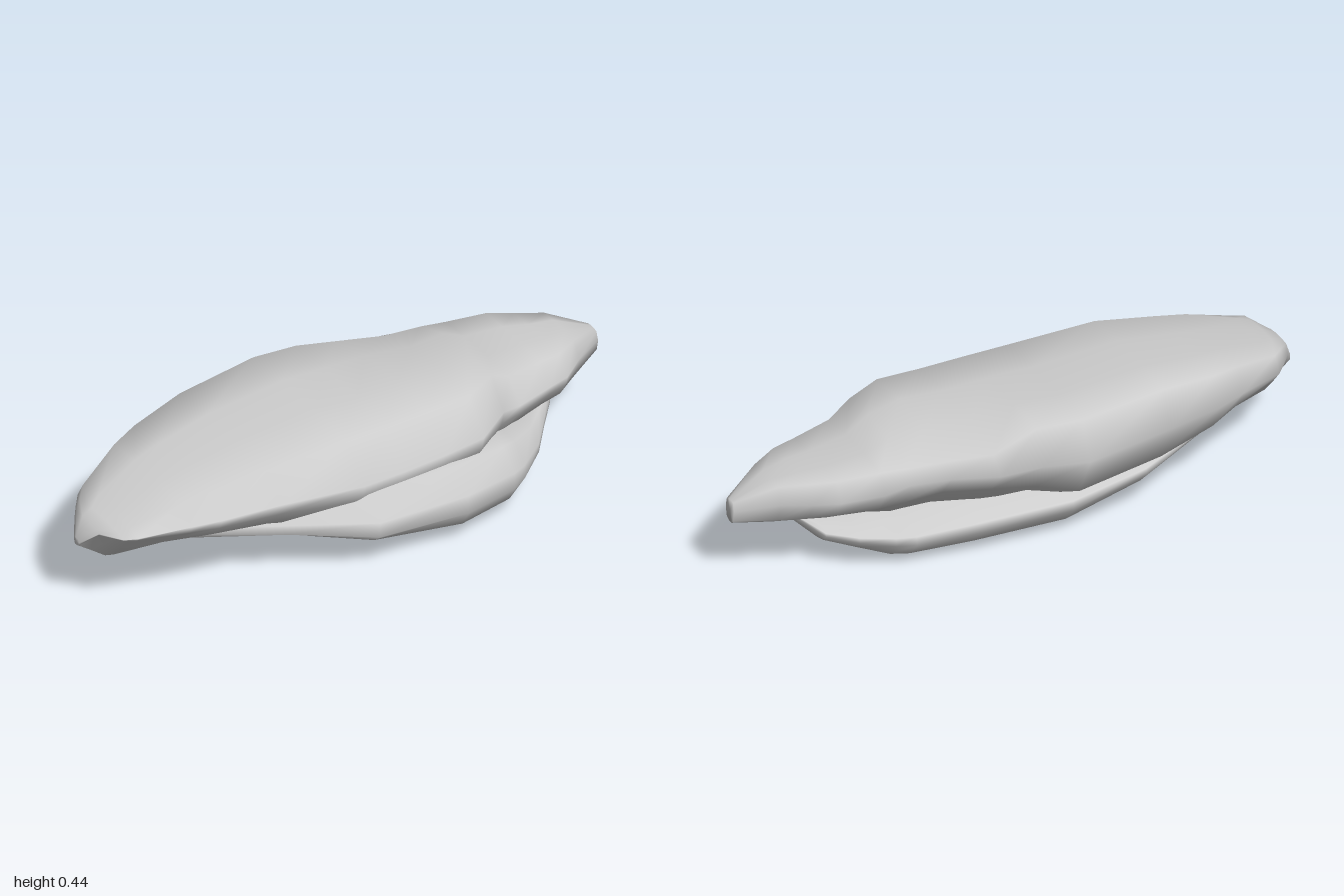
import * as THREE from 'three';

// Skins a body along x. Each station is
// [x, zFront, zBack, yTop, yBottom, drop, backLift, frontLift]: drop lowers the back
// of the top, the lifts raise the two sides of the underside. The ring gives
// [u, v, dropShare, backShare, frontShare]: u -1 back..1 front, v 0 bottom..1 top.
function loft(name, stations, ring, material) {
  const n = ring.length;
  const positions = [];
  const index = [];
  for (const [x, zFront, zBack, yTop, yBottom, drop = 0, back = 0, front = 0] of stations) {
    const middle = (zFront + zBack) / 2;
    const half = (zFront - zBack) / 2;
    for (const [u, v, dropShare = 0, backShare = 0, frontShare = 0] of ring) {
      const shift = back * backShare + front * frontShare - drop * dropShare;
      positions.push(x, yBottom + v * (yTop - yBottom) + shift, middle + u * half);
    }
  }
  for (let i = 0; i < stations.length - 1; i++) {
    for (let j = 0; j < n; j++) {
      const k = (j + 1) % n;
      const a = i * n + j, b = a + n, c = i * n + k, d = c + n;
      index.push(a, b, d, a, d, c);
    }
  }
  // Close both ends with fans
  for (const end of [0, stations.length - 1]) {
    const [x, zFront, zBack, yTop, yBottom] = stations[end];
    const centre = positions.length / 3;
    positions.push(x, (yTop + yBottom) / 2, (zFront + zBack) / 2);
    for (let j = 0; j < n; j++) {
      const a = end * n + j, b = end * n + (j + 1) % n;
      if (end === 0) index.push(centre, a, b);
      else index.push(centre, b, a);
    }
  }
  const geometry = new THREE.BufferGeometry();
  geometry.setAttribute('position', new THREE.Float32BufferAttribute(positions, 3));
  geometry.setIndex(index);
  geometry.computeVertexNormals();
  const mesh = new THREE.Mesh(geometry, material);
  mesh.name = name;
  return mesh;
}

export function createModel() {
  const group = new THREE.Group();
  group.name = 'rock';
  const stone = new THREE.MeshStandardMaterial({ color: 0xcccccc });
  stone.name = 'stone grey';

  // Long upper slab: thin raised front edge on the right, a step down to the left tip
  const slabStations = [
    [-1.00, 0.045, 0.015, 0.255, 0.23],
    [-0.97, 0.115, -0.03, 0.32, 0.205, 0, 0.03, 0.08],
    [-0.93, 0.20, -0.085, 0.332, 0.18, 0, 0.05, 0.11],
    [-0.89, 0.218, -0.135, 0.345, 0.165, 0, 0.06, 0.11],
    [-0.72, 0.265, -0.23, 0.395, 0.15, 0, 0.06, 0.08],
    [-0.62, 0.285, -0.275, 0.41, 0.14, 0, 0.04, 0.07],
    [-0.42, 0.318, -0.33, 0.437, 0.12, 0, 0.02, 0.07],
    [-0.11, 0.318, -0.39, 0.437, 0.10, 0, 0.02],
    [0.04, 0.312, -0.375, 0.436, 0.10, 0, 0.07],
    [0.20, 0.305, -0.39, 0.436, 0.11, 0.045, 0.10],
    [0.35, 0.295, -0.345, 0.436, 0.13, 0.055, 0.09],
    [0.48, 0.21, -0.32, 0.435, 0.15, 0.055, 0.06],
    [0.56, 0.18, -0.30, 0.387, 0.17, 0.01, 0.04],
    [0.70, 0.135, -0.275, 0.372, 0.185, 0, 0.03],
    [0.78, 0.11, -0.235, 0.363, 0.19, 0, 0.02],
    [0.87, 0.04, -0.185, 0.355, 0.20, 0, 0.01],
    [1.00, -0.055, -0.115, 0.30, 0.22],
  ];
  const slabRing = [
    [0.72, 0.92], [0.2, 0.98], [-0.35, 1, 0.3], [-0.83, 0.99, 1],
    [-1, 0.61, 0, 0.3], [-0.78, 0.13, 0, 1], [-0.4, 0, 0, 0.2], [0.2, 0, 0, 0, 0.15],
    [0.75, 0.1, 0, 0, 1], [0.95, 0.4, 0, 0, 0.6], [1, 0.58, 0, 0, 0.4],
  ];
  group.add(loft('upperSlab', slabStations, slabRing, stone));

  // Lower mass, bulging forward, with a narrow ridge along its back
  const baseStations = [
    [-0.62, 0.11, -0.16, 0.215, 0.14],
    [-0.36, 0.25, -0.28, 0.22, 0.07, 0, 0, 0.04],
    [-0.09, 0.378, -0.315, 0.215, 0, 0, 0, 0.04],
    [0.23, 0.392, -0.31, 0.215, 0],
    [0.44, 0.335, -0.28, 0.195, 0],
    [0.50, 0.30, -0.255, 0.185, 0.005, 0, 0, 0.02],
    [0.61, 0.21, -0.22, 0.17, 0.058, 0, 0, 0.01],
    [0.70, 0.10, -0.16, 0.165, 0.088],
    [0.76, 0.04, -0.08, 0.19, 0.14],
  ];
  const baseRing = [
    [0.78, 1.18], [0.4, 1.2], [-0.4, 1], [-0.78, 0.76], [-0.98, 0.6], [-1, 0.46],
    [-0.82, 0.16], [-0.5, 0], [0, 0], [0.6, 0.25, 0, 0, 0.3],
    [0.9, 0.3, 0, 0, 1], [1, 0.56, 0, 0, 0.3], [1, 0.86],
  ];
  group.add(loft('lowerMass', baseStations, baseRing, stone));

  return group;
}
